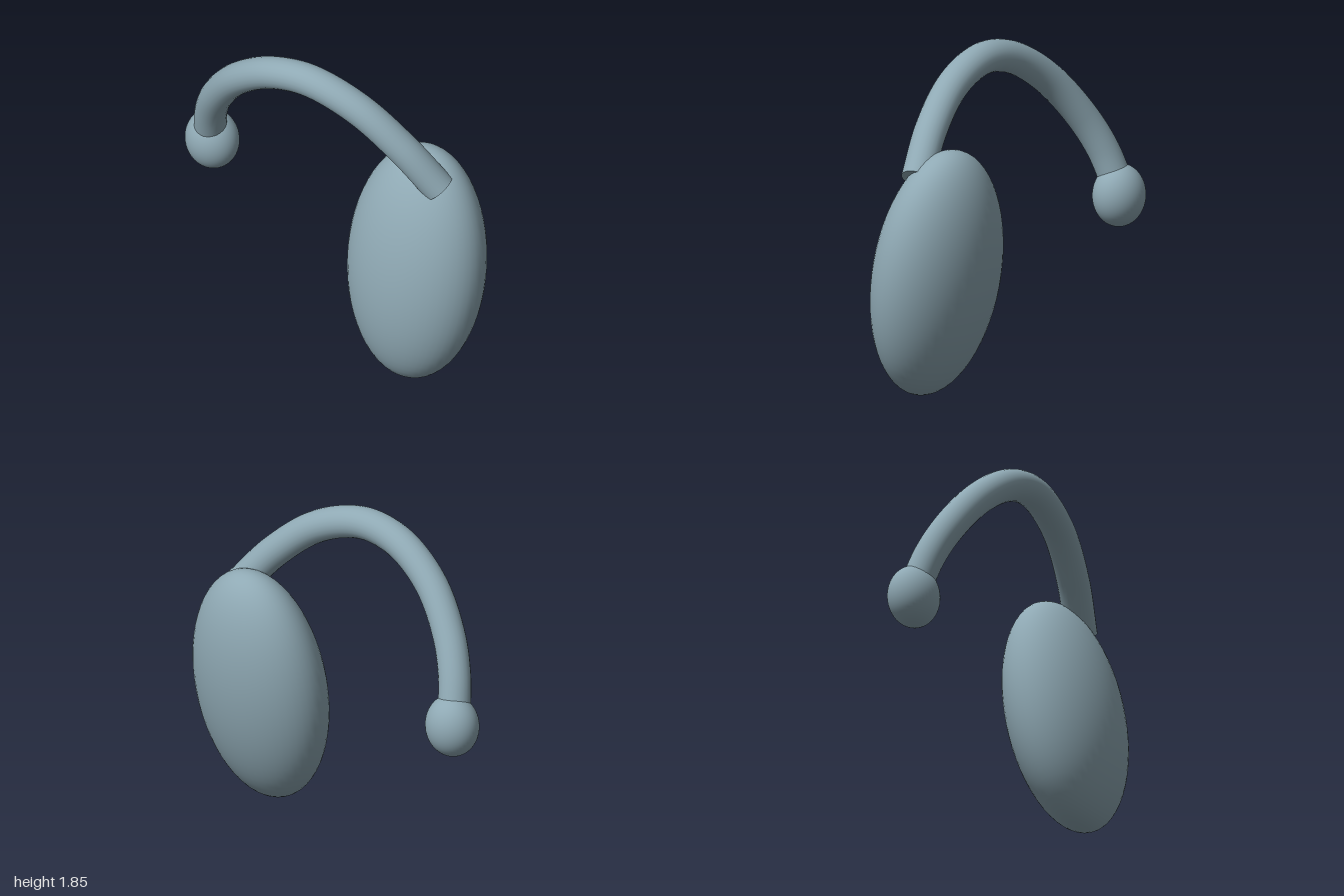
import * as THREE from 'three';

export function createModel() {
  const model = new THREE.Group();
  const blueGrey = new THREE.MeshStandardMaterial({ color: 0x8fa9b4 });
  blueGrey.name = 'blueGrey';

  const add = (name, geometry) => {
    const mesh = new THREE.Mesh(geometry, blueGrey);
    mesh.name = name;
    model.add(mesh);
    return mesh;
  };

  // Unit sphere stretched to the given radii
  const ellipsoid = (name, radii, position) => {
    const mesh = add(name, new THREE.SphereGeometry(1, 48, 32));
    mesh.scale.set(...radii);
    mesh.position.set(...position);
    return mesh;
  };

  // Large flattened body, leaning sideways
  ellipsoid('body', [0.286, 0.708, 0.42], [0, 0.7, 0.575]).rotation.z = -0.163;

  // Small ball at the tip of the arm
  ellipsoid('tipBall', [0.14, 0.175, 0.155], [0.02, 0.885, -0.84]);

  // Arched arm from the body over to the ball
  const radius = 0.09;
  const path = new THREE.CatmullRomCurve3([
    [0, 1.25, 0.727], [-0.08, 1.48, 0.535], [-0.15, 1.675, 0.29],
    [-0.197, 1.765, 0], [-0.21, 1.72, -0.25], [-0.185, 1.56, -0.5],
    [-0.12, 1.335, -0.69], [-0.055, 1.14, -0.79], [0.01, 0.93, -0.845],
  ].map((p) => new THREE.Vector3(...p)));
  add('arm', new THREE.TubeGeometry(path, 64, radius, 24));

  // Flat cap on the arm's exposed end
  const cap = add('armEndCap', new THREE.CircleGeometry(radius, 24));
  cap.position.copy(path.getPoint(0));
  cap.quaternion.setFromUnitVectors(new THREE.Vector3(0, 0, 1), path.getTangent(0).negate());

  return model;
}
